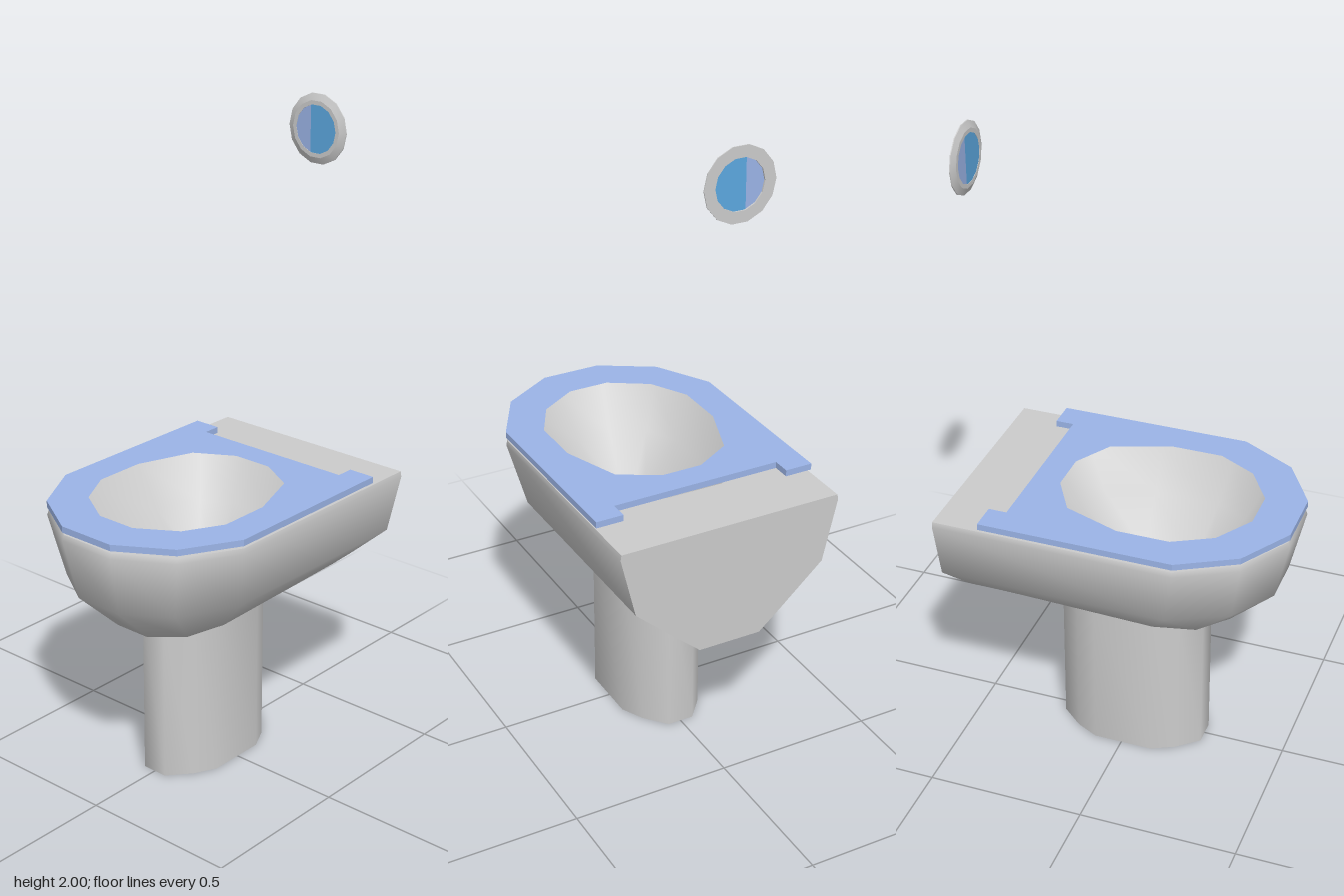
import * as THREE from 'three';
import { toCreasedNormals } from 'three/addons/utils/BufferGeometryUtils.js';

const ceramic = new THREE.MeshStandardMaterial({ name: 'ceramic grey', color: 0xcccccc });
const seatBlue = new THREE.MeshStandardMaterial({ name: 'seat blue', color: 0x9cb5e8 });
const waterBlue = new THREE.MeshStandardMaterial({ name: 'water', color: 0xa6bdc5 });
const buttonBlue = new THREE.MeshStandardMaterial({ name: 'button blue', color: 0x5ca8e0 });

// Mirror a half outline (+x side, listed back to front) into a closed loop
const mirror = (half) => [...half, ...half.slice().reverse().map(([x, ...rest]) => [-x, ...rest])];
const atHeight = (pts, y) => pts.map(([x, z]) => [x, y, z]);

// Skin closed rings of [x, y, z]; top to bottom faces outward, bottom to top faces inward
function loft(rings, cap) {
  const n = rings[0].length, index = [];
  for (let r = 0; r < rings.length - 1; r++) {
    for (let i = 0; i < n; i++) {
      const a = r * n + i, b = r * n + (i + 1) % n;
      index.push(a, b, a + n, b, b + n, a + n);
    }
  }
  const last = (rings.length - 1) * n;
  if (cap) for (let i = 1; i < n - 1; i++) index.push(last, last + i, last + i + 1);
  const g = new THREE.BufferGeometry();
  g.setAttribute('position', new THREE.Float32BufferAttribute(rings.flat(2), 3));
  g.setIndex(index);
  return toCreasedNormals(g, 1);
}

// Horizontal shape from [x, z] points, with an optional hole
function planShape(outline, hole) {
  const toVec = ([x, z]) => new THREE.Vector2(x, -z);
  const shape = new THREE.Shape(outline.map(toVec));
  if (hole) shape.holes.push(new THREE.Path(hole.map(toVec)));
  return shape;
}

export function createModel() {
  const model = new THREE.Group();
  const add = (name, geometry, material, y = 0, z = 0) => {
    const mesh = new THREE.Mesh(geometry, material);
    mesh.name = name;
    mesh.position.set(0, y, z);
    model.add(mesh);
  };

  const rimTop = 0.872;
  const deck = mirror([[0.354, -0.515], [0.354, 0.237], [0.257, 0.41], [0.094, 0.509]]);

  // Outer shell, flat across the back and rounded at the front
  add('bowlShell', loft([
    atHeight(deck, rimTop),
    mirror([[0.357, 0.855, -0.515], [0.357, 0.855, 0.24], [0.26, 0.855, 0.415], [0.095, 0.855, 0.515]]),
    mirror([[0.31, 0.66, -0.515], [0.31, 0.66, 0.2], [0.22, 0.66, 0.38], [0.08, 0.66, 0.47]]),
    mirror([[0.17, 0.535, -0.515], [0.18, 0.525, 0.12], [0.15, 0.525, 0.25], [0.06, 0.525, 0.33]]),
    mirror([[0.1, 0.475, -0.515], [0.1, 0.495, 0.05], [0.08, 0.495, 0.17], [0.04, 0.495, 0.23]]),
  ], true), ceramic);

  // Top surface; its opening is wider than the one in the seat
  const rim = mirror([[0.09, -0.3], [0.23, -0.24], [0.3, -0.02],
    [0.3, 0.22], [0.225, 0.365], [0.08, 0.45]]);
  add('bowlDeck', new THREE.ShapeGeometry(planShape(deck, rim)).rotateX(-Math.PI / 2), ceramic, rimTop);

  // Basin interior tapering to the water
  const water = mirror([[0.028, -0.065], [0.066, -0.044], [0.085, -0.002],
    [0.085, 0.166], [0.066, 0.208], [0.028, 0.229]]);
  const middle = water.map(([x, z], i) => [
    THREE.MathUtils.lerp(x, rim[i][0], 0.6), THREE.MathUtils.lerp(z, rim[i][1], 0.6)]);
  add('basin', loft([atHeight(water, 0.61), atHeight(middle, 0.745), atHeight(rim, rimTop)], false), ceramic);
  add('water', new THREE.ShapeGeometry(planShape(water)).rotateX(-Math.PI / 2), waterBlue, 0.612);

  // Pedestal with strongly tapered ends
  const foot = mirror([[0.042, -0.228], [0.1, -0.16], [0.135, -0.09],
    [0.135, 0.1], [0.1, 0.17], [0.042, 0.238]]);
  add('pedestal', loft([atHeight(foot, 0.53), atHeight(foot, 0)], true), ceramic);

  // Seat with hinge tabs at the back
  const seatOutline = mirror([[0.27, -0.31], [0.27, -0.367], [0.357, -0.367],
    [0.357, 0.24], [0.26, 0.415], [0.095, 0.515]]);
  const seatOpening = mirror([[0.065, -0.22], [0.185, -0.15], [0.25, 0.03],
    [0.25, 0.195], [0.185, 0.315], [0.065, 0.39]]);
  const seat = new THREE.ExtrudeGeometry(planShape(seatOutline, seatOpening),
    { depth: 0.02, bevelEnabled: false }).rotateX(-Math.PI / 2);
  add('seat', seat, seatBlue, 0.881);

  // Wall flush plate: chamfered ring around a split button
  const profile = [[0.075, 0], [0.109, 0], [0.109, 0.003], [0.088, 0.012], [0.075, 0.012], [0.075, 0]]
    .map(([r, y]) => new THREE.Vector2(r, y));
  const ring = new THREE.LatheGeometry(profile, 14, Math.PI / 14).rotateX(Math.PI / 2);
  add('flushRing', toCreasedNormals(ring, 0.3), ceramic, 1.894, -0.515);

  const split = Math.acos(-0.02 / 0.075);
  const button = (name, from, to, material) => {
    const shape = new THREE.Shape();
    shape.absarc(0, 0, 0.075, from, to, false);
    const g = new THREE.ExtrudeGeometry(shape, { depth: 0.006, bevelEnabled: false, curveSegments: 8 });
    add(name, g, material, 1.894, -0.51);
  };
  button('largeFlushButton', -split, split, buttonBlue);
  button('smallFlushButton', split, 2 * Math.PI - split, seatBlue);

  return model;
}
